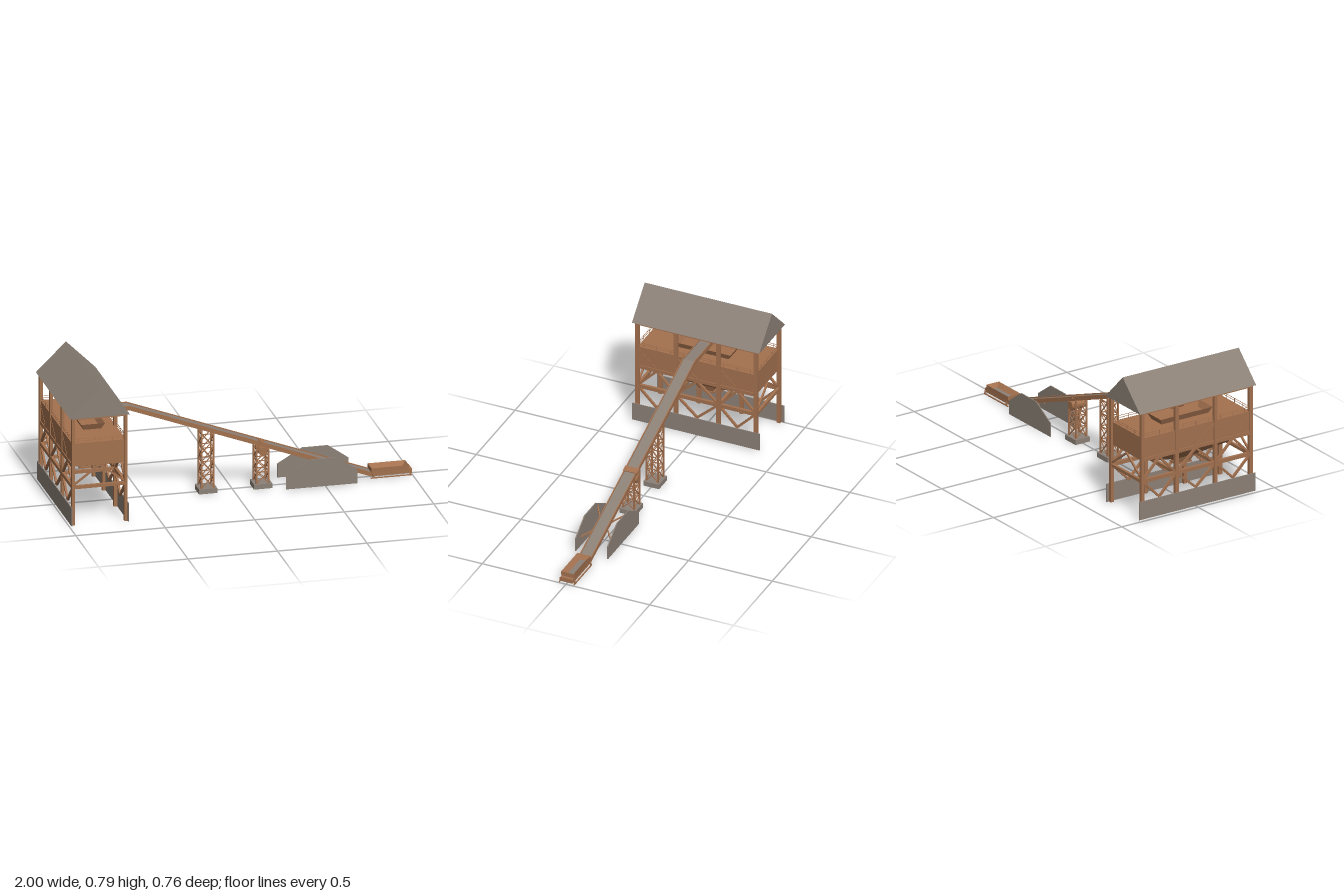
import * as THREE from 'three';

const mat = (name, color, side = THREE.FrontSide) => {
  const m = new THREE.MeshStandardMaterial({ color, side });
  m.name = name;
  return m;
};

export function createModel() {
  const steel = mat('rust brown steel', 0xa3714f, THREE.DoubleSide);
  const grey = mat('weathered grey sheet', 0x8c8177, THREE.DoubleSide);
  const root = new THREE.Group();
  root.name = 'loadingPlant';

  const group = (name, parent = root) => {
    const g = new THREE.Group();
    g.name = name;
    parent.add(g);
    return g;
  };
  const add = (parent, name, geo, m) => {
    const mesh = new THREE.Mesh(geo, m);
    mesh.name = name;
    parent.add(mesh);
    return mesh;
  };
  // Box given by its minimum and maximum on each axis
  const box = (parent, name, x0, x1, y0, y1, z0, z1, m = steel) => {
    const mesh = add(parent, name, new THREE.BoxGeometry(x1 - x0, y1 - y0, z1 - z0), m);
    mesh.position.set((x0 + x1) / 2, (y0 + y1) / 2, (z0 + z1) / 2);
    return mesh;
  };
  // Straight member of section w by h between two points
  const beam = (parent, name, a, b, w = 0.01, h = w, m = steel) => {
    const p = new THREE.Vector3(...a), q = new THREE.Vector3(...b);
    const mesh = add(parent, name, new THREE.BoxGeometry(w, h, p.distanceTo(q)), m);
    mesh.position.copy(p).add(q).multiplyScalar(0.5);
    mesh.lookAt(q);
    return mesh;
  };
  // Side profile in x and y, extruded along z
  const plate = (parent, name, pts, z0, z1, m) => {
    const shape = new THREE.Shape(pts.map(p => new THREE.Vector2(...p)));
    const geo = new THREE.ExtrudeGeometry(shape, { depth: z1 - z0, bevelEnabled: false });
    return add(parent, name, geo.translate(0, 0, z0), m);
  };
  // Open rectangular funnel through rings [y, half x, half z]
  const funnel = (parent, name, cx, cz, rings) => {
    const pos = [];
    const corner = ([y, hx, hz], i) => [cx + [1, 1, -1, -1][i % 4] * hx, y, cz + [1, -1, -1, 1][i % 4] * hz];
    for (let r = 0; r < rings.length - 1; r++) {
      for (let i = 0; i < 4; i++) {
        const a = corner(rings[r], i), b = corner(rings[r], i + 1);
        const c = corner(rings[r + 1], i + 1), d = corner(rings[r + 1], i);
        pos.push(...a, ...b, ...c, ...a, ...c, ...d);
      }
    }
    const geo = new THREE.BufferGeometry();
    geo.setAttribute('position', new THREE.Float32BufferAttribute(pos, 3));
    geo.computeVertexNormals();
    return add(parent, name, geo, steel);
  };

  // ---- Bunker building ----
  const house = group('bunkerBuilding');
  const X = [-0.979, -0.685], Z = [0.355, 0.125, -0.13, -0.353], cx = -0.832;
  plate(house, 'gableRoof', [[-1, 0.627], [-0.667, 0.627], [cx, 0.79]], -0.38, 0.38, grey);
  box(house, 'wallLeft', -0.676, -0.671, 0.008, 0.113, -0.38, 0.38, grey);
  box(house, 'wallRight', -0.993, -0.988, 0.008, 0.113, -0.38, 0.38, grey);

  const frame = group('steelFrame', house);
  for (const x of X) {
    for (const z of Z) box(frame, 'column', x - 0.009, x + 0.009, 0.008, 0.627, z - 0.011, z + 0.011);
    box(frame, 'eavesBeam', x - 0.006, x + 0.006, 0.614, 0.626, -0.353, 0.355);
    box(frame, 'sillBeam', x - 0.008, x + 0.008, 0.34, 0.36, -0.353, 0.355);
    box(frame, 'middleBeam', x - 0.008, x + 0.008, 0.216, 0.237, -0.353, 0.355);
    for (let i = 0; i < 3; i++) {
      const m = (Z[i] + Z[i + 1]) / 2;
      for (const z of [Z[i], Z[i + 1]]) {
        beam(frame, 'lowerBrace', [x, 0.226, z], [x, 0.113, m], 0.012);
        beam(frame, 'upperBrace', [x, 0.226, z], [x, 0.343, m], 0.012);
        beam(frame, 'binBrace', [x, 0.46, z], [x, 0.355, m], 0.01, 0.016);
      }
    }
  }
  for (const z of Z) {
    box(frame, 'crossBeam', X[0], X[1], 0.216, 0.234, z - 0.008, z + 0.008);
    box(frame, 'eavesTie', X[0], X[1], 0.614, 0.626, z - 0.006, z + 0.006);
  }
  for (const z of [Z[0], Z[3]]) {
    for (const x of X) beam(frame, 'endBrace', [x, 0.235, z], [cx, 0.343, z], 0.01);
  }

  // Storage bin with its outlet funnel
  box(house, 'storageBin', -0.982, -0.682, 0.342, 0.475, -0.35, 0.352);
  funnel(house, 'binFunnel', cx, 0.0, [[0.342, 0.143, 0.346], [0.255, 0.042, 0.062], [0.215, 0.028, 0.038]]);
  box(house, 'outletGate', cx - 0.034, cx + 0.034, 0.212, 0.222, -0.05, 0.05);

  // Receiving hopper on the deck
  funnel(house, 'receivingHopper', cx + 0.012, 0.002, [[0.51, 0.066, 0.17], [0.475, 0.05, 0.153]]);

  // Guard rail around the deck
  const rail = group('guardRail', house);
  for (const y of [0.488, 0.5]) {
    for (const x of X) box(rail, 'railLong', x - 0.001, x + 0.001, y - 0.001, y + 0.001, -0.35, 0.352);
    for (const z of [0.352, -0.35]) box(rail, 'railShort', X[0], X[1], y - 0.001, y + 0.001, z - 0.001, z + 0.001);
  }
  for (let i = 0; i <= 8; i++) {
    const z = -0.32 + i * 0.08;
    for (const x of X) box(rail, 'railPost', x - 0.001, x + 0.001, 0.475, 0.5, z - 0.001, z + 0.001);
  }
  for (let i = 1; i < 4; i++) {
    const x = X[0] + i * 0.0735;
    for (const z of [0.352, -0.35]) box(rail, 'railPost', x - 0.001, x + 0.001, 0.475, 0.5, z - 0.001, z + 0.001);
  }

  // ---- Inclined conveyor ----
  const conveyor = group('conveyor');
  conveyor.position.z = -0.002;
  const path = [[-0.8, 0.53], [-0.58, 0.53], [0.765, 0.026], [0.985, 0.026]];
  // Strip following the conveyor path, between two offsets in y
  const strip = (lo, hi) => [...path.map(([x, y]) => [x, y + lo]), ...path.slice().reverse().map(([x, y]) => [x, y + hi])];
  plate(conveyor, 'belt', strip(-0.01, 0.006), -0.032, 0.032, grey);
  for (const s of [-1, 1]) {
    plate(conveyor, 'sideFrame', strip(-0.013, 0.012), s * 0.034 - 0.0025, s * 0.034 + 0.0025, steel);
  }
  for (const [x, y] of [path[0], path[3]]) {
    const drum = add(conveyor, 'endDrum', new THREE.CylinderGeometry(0.012, 0.012, 0.074, 16), steel);
    drum.rotation.x = Math.PI / 2;
    drum.position.set(x, y, 0);
  }

  // Loading trough at the low end
  const trough = group('loadingTrough', conveyor);
  funnel(trough, 'troughSides', 0.873, 0, [[0.036, 0.105, 0.04], [0.06, 0.105, 0.041], [0.036, 0.085, 0.016]]);
  for (const s of [-1, 1]) {
    box(trough, 'skid', 0.765, 0.995, 0.002, 0.008, s * 0.043 - 0.003, s * 0.043 + 0.003);
    for (const x of [0.78, 0.985]) box(trough, 'skidPost', x - 0.004, x + 0.004, 0.002, 0.026, s * 0.043 - 0.003, s * 0.043 + 0.003);
  }
  box(trough, 'endPlate', 0.99, 0.997, 0.012, 0.036, -0.038, 0.038);

  // ---- Trestle towers ----
  const tower = (name, x, top, panels) => {
    const g = group(name);
    const h = 0.034, y0 = 0.028, step = (top - y0) / panels;
    box(g, 'footing', x - 0.051, x + 0.051, 0, 0.028, -0.048, 0.046, grey);
    const c = [[x - h, h], [x + h, h], [x + h, -h], [x - h, -h]];
    c.forEach(([px, pz], i) => {
      const [qx, qz] = c[(i + 1) % 4];
      // Legs reach up to the sloping conveyor
      const legTop = 0.515 - 0.375 * (px + 0.58);
      box(g, 'leg', px - 0.004, px + 0.004, y0, legTop, pz - 0.004, pz + 0.004);
      for (let k = 0; k < panels; k++) {
        const a = y0 + k * step, b = a + step;
        beam(g, 'brace', [px, a, pz], [qx, b, qz], 0.004);
        beam(g, 'brace', [qx, a, qz], [px, b, pz], 0.004);
        beam(g, 'tie', [px, b, pz], [qx, b, qz], 0.005);
      }
    });
    return g;
  };
  tower('tallTower', -0.145, 0.34, 4);
  const low = tower('lowTower', 0.162, 0.225, 3);

  // Belt tensioner on the low tower
  const pulley = add(low, 'tensionPulley', new THREE.CylinderGeometry(0.024, 0.024, 0.09, 16), steel);
  pulley.rotation.x = Math.PI / 2;
  pulley.position.set(0.163, 0.212, -0.002);
  beam(low, 'beltCollar', [0.147, 0.262, -0.002], [0.18, 0.2495, -0.002], 0.084, 0.012);

  // ---- Retaining walls beside the conveyor ----
  const walls = group('retainingWalls');
  const profile = [[0.277, 0.004], [0.675, 0.004], [0.675, 0.083], [0.56, 0.164], [0.415, 0.164], [0.277, 0.083]];
  for (const s of [-1, 1]) {
    const z = s * 0.096 - 0.002;
    plate(walls, 'retainingWall', profile, z - 0.003, z + 0.003, grey);
    beam(walls, 'upperStrut', [0.39, 0.137, z], [0.485, 0.114, s * 0.033], 0.007);
    beam(walls, 'lowerStrut', [0.615, 0.058, z], [0.53, 0.084, s * 0.033], 0.007);
  }
  return root;
}
